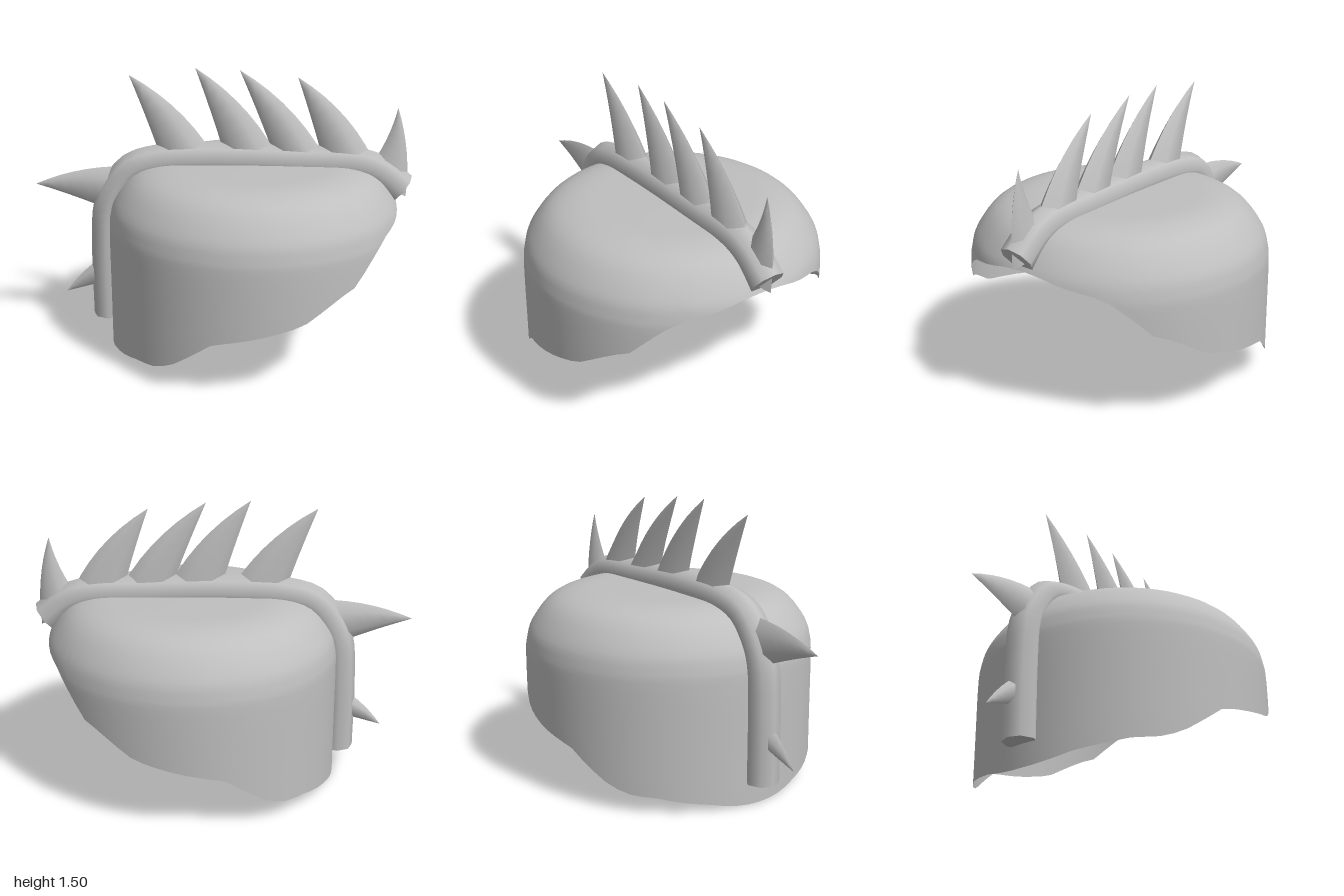
import * as THREE from 'three';
import { toCreasedNormals } from 'three/addons/utils/BufferGeometryUtils.js';

const steel = new THREE.MeshStandardMaterial({ color: 0xbfbfbf, side: THREE.DoubleSide });
steel.name = 'plain grey';

const v2 = (p) => new THREE.Vector2(p[0], p[1]);

function indexed(positions, index) {
  const g = new THREE.BufferGeometry();
  g.setAttribute('position', new THREE.Float32BufferAttribute(positions, 3));
  g.setIndex(index);
  g.computeVertexNormals();
  return g;
}

// Height of the shell's wavy lower rim at a given x
const RIM = [[-0.6, 0], [-0.55, 0.04], [-0.42, 0.085], [-0.33, 0.095], [-0.24, 0.13], [-0.02, 0.295],
  [0.22, 0.345], [0.42, 0.395], [0.6, 0.51], [0.67, 0.54], [0.78, 0.68], [0.83, 0.73], [0.91, 0.765], [0.945, 0.8]];
function rimHeight(x) {
  if (x <= RIM[0][0]) return RIM[0][1];
  for (let i = 1; i < RIM.length; i++) {
    const [x0, y0] = RIM[i - 1], [x1, y1] = RIM[i];
    if (x <= x1) return y0 + (y1 - y0) * (x - x0) / (x1 - x0);
  }
  return RIM[RIM.length - 1][1];
}

// Open dome: each column of the turned profile starts at the rim height
function shellGeometry() {
  const profile = new THREE.SplineCurve([[0.775, 0], [0.775, 0.35], [0.775, 0.64], [0.767, 0.73], [0.738, 0.82],
    [0.64, 0.94], [0.5, 0.993], [0.3, 1.001], [0, 1.004]].map(v2));
  const startAt = (y) => {
    let lo = 0, hi = 1;
    for (let k = 0; k < 30; k++) {
      const mid = (lo + hi) / 2;
      if (profile.getPoint(mid).y < y) lo = mid; else hi = mid;
    }
    return lo;
  };
  const cols = 72, rows = 24, cx = 0.172, pos = [], idx = [];
  for (let j = 0; j <= rows; j++) {
    for (let i = 0; i < cols; i++) {
      const a = (i / cols) * Math.PI * 2;
      const u0 = startAt(rimHeight(cx + 0.773 * Math.cos(a)));
      const p = profile.getPoint(u0 + (1 - u0) * j / rows);
      pos.push(cx + p.x * Math.cos(a), p.y, -p.x * 1.006 * Math.sin(a));
    }
  }
  for (let j = 0; j < rows; j++) {
    for (let i = 0; i < cols; i++) {
      const n = (i + 1) % cols, a = j * cols + i, b = j * cols + n;
      idx.push(a, b, a + cols, b, b + cols, a + cols);
    }
  }
  return indexed(pos, idx);
}

// Curved horn: six-sided flattened rings between two bent edges meeting at the tip
function spikeGeometry(tip, a, b, bendA, bendB, halfWidth) {
  const edge = (p, bend) => {
    const s = v2(p), t = v2(tip), d = t.clone().sub(s).normalize();
    const c = s.clone().add(t).multiplyScalar(0.5).add(new THREE.Vector2(d.y, -d.x).multiplyScalar(bend));
    return new THREE.QuadraticBezierCurve(s, c, t);
  };
  const ea = edge(a, bendA), eb = edge(b, bendB), sides = 6, rings = 8, pos = [], idx = [];
  for (let j = 0; j < rings; j++) {
    const t = j / rings, p = ea.getPoint(t), q = eb.getPoint(t);
    const mid = p.clone().add(q).multiplyScalar(0.5), half = q.clone().sub(p).multiplyScalar(0.5);
    for (let i = 0; i < sides; i++) {
      const f = (i / sides) * Math.PI * 2, c = Math.cos(f);
      pos.push(mid.x + half.x * c, mid.y + half.y * c, halfWidth * (1 - t) * Math.sin(f) / 0.866);
    }
  }
  const top = rings * sides;
  pos.push(tip[0], tip[1], 0, (a[0] + b[0]) / 2, (a[1] + b[1]) / 2, 0);
  for (let i = 0; i < sides; i++) {
    const n = (i + 1) % sides, last = top - sides;
    for (let j = 0; j < rings - 1; j++) {
      const k = j * sides;
      idx.push(k + i, k + sides + i, k + n, k + n, k + sides + i, k + sides + n);
    }
    idx.push(last + i, top, last + n, i, n, top + 1);
  }
  return toCreasedNormals(indexed(pos, idx), 0.9);
}

export function createModel() {
  const model = new THREE.Group();
  model.name = 'spikedHelmet';
  const add = (name, geometry) => {
    const m = new THREE.Mesh(geometry, steel);
    m.name = name;
    model.add(m);
    return m;
  };

  add('helmetShell', shellGeometry());

  // Crest tube running from the nape over the top to the brow
  const path = new THREE.CatmullRomCurve3([[-0.624, 0.12], [-0.624, 0.5], [-0.605, 0.75], [-0.55, 0.87], [-0.47, 0.96],
    [-0.33, 1.003], [-0.03, 1.02], [0.4, 1.01], [0.73, 0.993], [0.83, 0.955], [0.945, 0.865]]
    .map(([x, y]) => new THREE.Vector3(x, y, 0)), false, 'centripetal');
  const radius = 0.088;
  add('crestTube', new THREE.TubeGeometry(path, 48, radius, 8));
  for (const [name, t, sign] of [['napeCap', 0, -1], ['browCap', 1, 1]]) {
    const cap = add(name, new THREE.CircleGeometry(radius, 8));
    cap.position.copy(path.getPoint(t));
    cap.lookAt(cap.position.clone().addScaledVector(path.getTangent(t), sign));
  }

  // Spikes: tip, two base corners, bend of each edge, half width
  const spikes = [
    ['lowerNapeSpike', [-0.86, 0.245], [-0.56, 0.33], [-0.57, 0.5], 0.0, 0.05, 0.055],
    ['upperNapeSpike', [-1, 0.865], [-0.53, 0.69], [-0.44, 0.965], 0.015, 0.07, 0.06],
    ['topSpike1', [-0.485, 1.46], [-0.29, 0.91], [0.0, 0.95], 0.01, 0.11, 0.075],
    ['topSpike2', [-0.14, 1.5], [0.05, 0.91], [0.33, 0.95], 0.01, 0.11, 0.075],
    ['topSpike3', [0.09, 1.49], [0.32, 0.91], [0.58, 0.95], 0.01, 0.11, 0.075],
    ['topSpike4', [0.39, 1.455], [0.56, 0.91], [0.83, 0.94], 0.01, 0.11, 0.075],
    ['browSpike', [0.91, 1.3], [0.76, 0.96], [0.972, 0.82], 0.04, 0.05, 0.05],
  ];
  for (const [name, ...shape] of spikes) add(name, spikeGeometry(...shape));
  return model;
}
